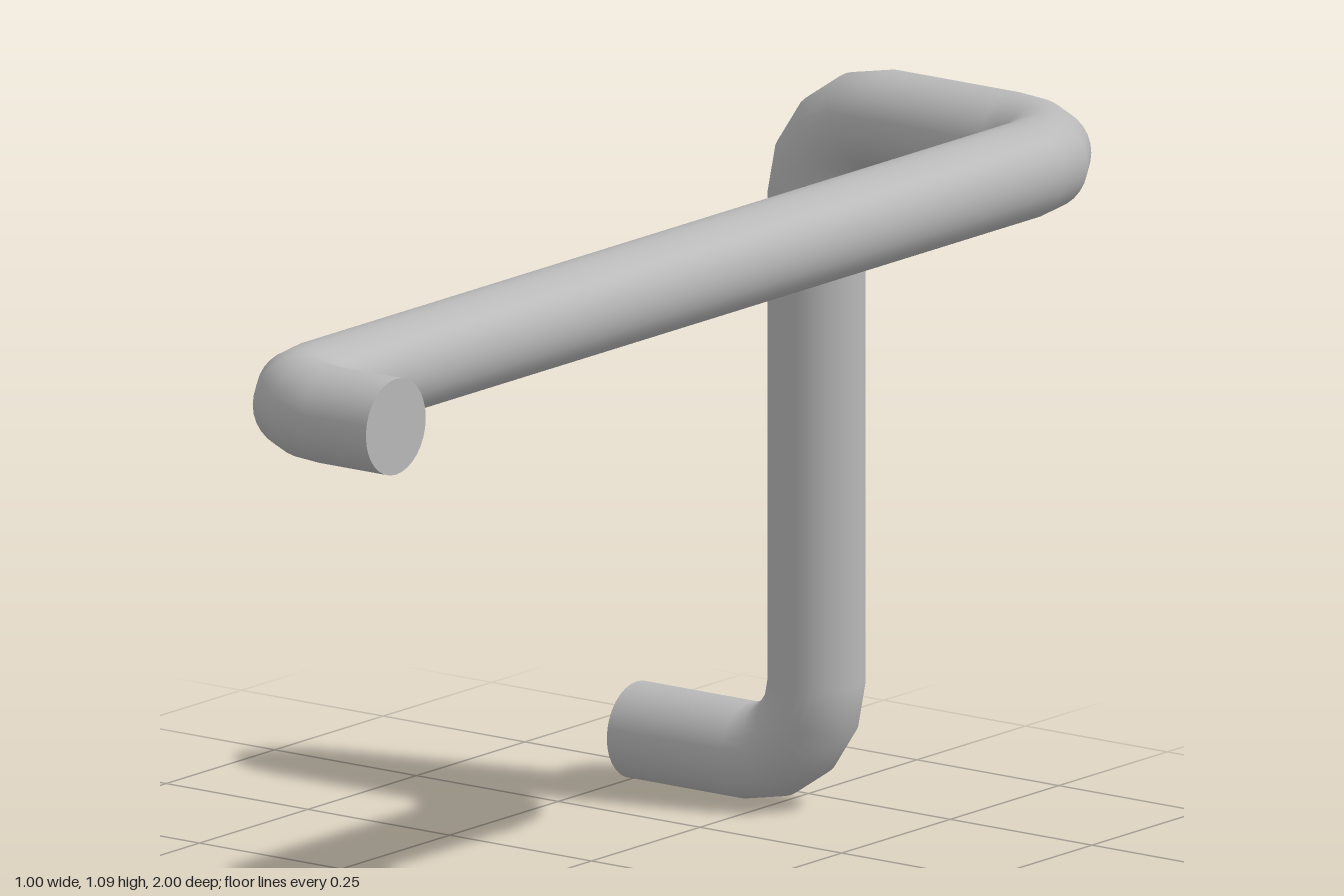
import * as THREE from 'three';

const RADIUS = 0.069;
const BEND_STEPS = 4;

// Corners of the bent rod, each with its bend radius
const corners = [
  [-0.5, 0.069, -0.931, 0],
  [-0.183, 0.069, -0.931, 0.117],
  [-0.183, 1.016, -0.931, 0.127],
  [0.28, 1.016, -0.931, 0.125],
  [0.28, 1.016, 0.931, 0.104],
  [0.5, 1.016, 0.931, 0],
];

// Straight runs joined by circular bends, sampled only where a ring is needed
class BentPath extends THREE.Curve {
  constructor() {
    super();
    this.stations = [];
    const pts = corners.map(([x, y, z]) => new THREE.Vector3(x, y, z));
    const dir = (i) => pts[i + 1].clone().sub(pts[i]).normalize();
    const last = pts.length - 1;
    this.stations.push({ p: pts[0], t: dir(0) });
    for (let i = 1; i < last; i++) {
      const a = dir(i - 1), b = dir(i), r = corners[i][3];
      const centre = pts[i].clone().addScaledVector(a, -r).addScaledVector(b, r);
      for (let k = 0; k <= BEND_STEPS; k++) {
        const w = (k / BEND_STEPS) * Math.PI / 2;
        const c = Math.cos(w), s = Math.sin(w);
        this.stations.push({
          p: centre.clone().addScaledVector(b, -r * c).addScaledVector(a, r * s),
          t: a.clone().multiplyScalar(c).addScaledVector(b, s),
        });
      }
    }
    this.stations.push({ p: pts[last], t: dir(last - 1) });
  }
  at(u) { return this.stations[Math.round(u * (this.stations.length - 1))]; }
  getPoint(u, target = new THREE.Vector3()) { return target.copy(this.at(u).p); }
  getPointAt(u, target) { return this.getPoint(u, target); }
  getTangent(u, target = new THREE.Vector3()) { return target.copy(this.at(u).t); }
  getTangentAt(u, target) { return this.getTangent(u, target); }
}

export function createModel() {
  const model = new THREE.Group();
  model.name = 'bentRod';
  const steel = new THREE.MeshStandardMaterial({ color: 0xb8b8b8 });
  steel.name = 'grey steel';

  // Rod
  const path = new BentPath();
  const rod = new THREE.Mesh(
    new THREE.TubeGeometry(path, path.stations.length - 1, RADIUS, 32, false), steel);
  rod.name = 'rod';
  model.add(rod);

  // Flat end caps
  for (const [name, u, side] of [['lowerEndCap', 0, -1], ['upperEndCap', 1, 1]]) {
    const cap = new THREE.Mesh(new THREE.CircleGeometry(RADIUS, 32), steel);
    cap.name = name;
    cap.position.copy(path.getPointAt(u));
    cap.rotation.y = side * Math.PI / 2;
    model.add(cap);
  }
  return model;
}
